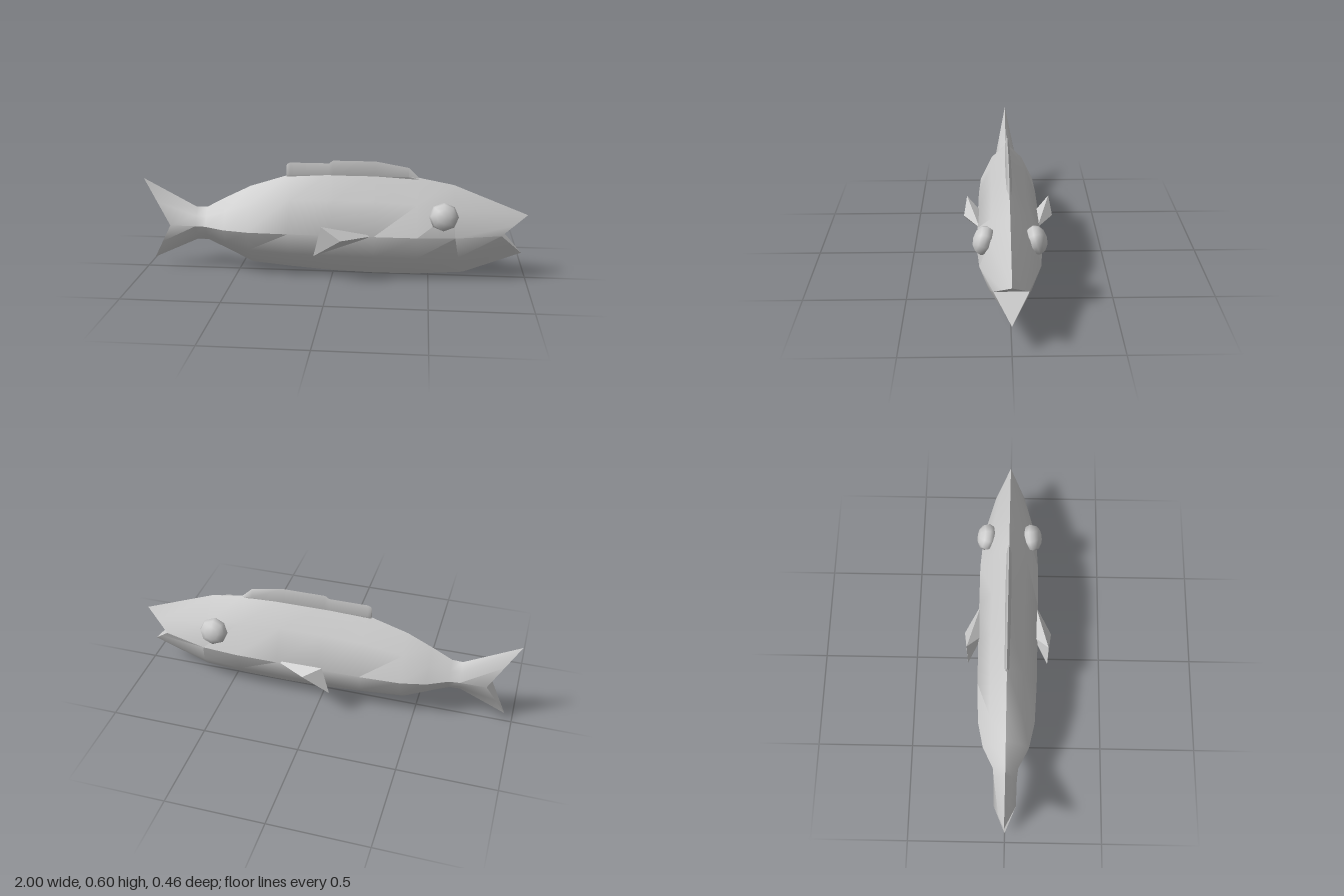
import * as THREE from 'three';
import { toCreasedNormals } from 'three/addons/utils/BufferGeometryUtils.js';
import { ConvexGeometry } from 'three/addons/geometries/ConvexGeometry.js';

const grey = new THREE.MeshStandardMaterial({ color: 0xcccccc });
const flatGrey = new THREE.MeshStandardMaterial({ color: 0xcccccc, flatShading: true, side: THREE.DoubleSide });
const V = (x, y, z) => new THREE.Vector3(x, y, z);
const MID = 0.245;

// Joins rings (equal point counts, running along +x) into a closed skin
function loft(rings, caps) {
  const n = rings[0].length, index = [];
  for (let i = 0; i < rings.length - 1; i++) {
    for (let j = 0; j < n; j++) {
      const k = (j + 1) % n, a = i * n + j, b = i * n + k;
      index.push(a, b, a + n, b, b + n, a + n);
    }
  }
  const last = (rings.length - 1) * n;
  for (const [a, b, c] of caps) {
    index.push(last + a, last + b, last + c); // front end
    index.push(a, c, b); // rear end
  }
  const geo = new THREE.BufferGeometry();
  geo.setAttribute('position', new THREE.Float32BufferAttribute(rings.flat(2), 3));
  geo.setIndex(index);
  return toCreasedNormals(geo, 0.75);
}

// Eight-point section: keel and back on the centre line, three points per side
function section([top, upper, side, lower, bottom]) {
  const half = [[upper[0], upper[1], upper[2]], [side[0], MID, side[1]], [lower[0], lower[1], lower[2]]];
  const mirrored = half.map(([x, y, z]) => [x, y, -z]).reverse();
  return [[top[0], top[1], 0], ...half, [bottom[0], bottom[1], 0], ...mirrored];
}

// Straight-sided end section, giving the forked tail and the open mouth
function forkSection(top, side, bottom) {
  const mid = (p) => [(p[0] + side[0]) / 2, (p[1] + MID) / 2, side[1] / 2];
  return section([top, mid(top), side, mid(bottom), bottom]);
}

// Upright section at one x: top y, upper [y, z], half width, lower [y, z], bottom y
const upright = (x, t, u, w, l, b) => section([[x, t], [x, ...u], [x, w], [x, ...l], [x, b]]);

function bodyGeometry() {
  const rings = [
    forkSection([-1, 0.485], [-0.855, 0.055], [-0.96, 0.05]),
    upright(-0.72, 0.335, [0.295, 0.035], 0.058, [0.2, 0.035], 0.16),
    upright(-0.665, 0.337, [0.295, 0.04], 0.064, [0.2, 0.04], 0.158),
    upright(-0.56, 0.393, [0.33, 0.075], 0.117, [0.17, 0.08], 0.108),
    upright(-0.43, 0.457, [0.375, 0.083], 0.145, [0.14, 0.105], 0.042),
    upright(-0.22, 0.523, [0.405, 0.085], 0.154, [0.128, 0.113], 0.022),
    upright(0, 0.55, [0.41, 0.085], 0.156, [0.125, 0.115], 0.006),
    upright(0.22, 0.55, [0.41, 0.085], 0.157, [0.123, 0.115], 0),
    upright(0.44, 0.52, [0.4, 0.087], 0.157, [0.123, 0.113], 0.002),
    section([[0.62, 0.486], [0.62, 0.375, 0.09], [0.63, 0.143], [0.65, 0.13, 0.098], [0.68, 0.02]]),
    forkSection([1, 0.337], [0.865, 0.079], [0.975, 0.134]),
  ];
  return loft(rings, [[2, 6, 0], [2, 4, 6]]);
}

// Low ridge along the back: x, tip height, half width at the base
function dorsalGeometry() {
  const profile = [
    [-0.242, 0.565, 0.007], [-0.238, 0.577, 0.01], [-0.222, 0.585, 0.012], [-0.02, 0.585, 0.014],
    [0, 0.6, 0.015], [0.22, 0.6, 0.015], [0.39, 0.57, 0.013], [0.445, 0.517, 0.005],
  ];
  const rings = profile.map(([x, y, w]) => {
    const base = Math.min(0.525, y - 0.005);
    return [[x, y, 0], [x, base, w], [x, base - 0.03, 0], [x, base, -w]];
  });
  return loft(rings, [[0, 1, 3], [1, 2, 3]]);
}

export function createModel() {
  const model = new THREE.Group();
  const add = (name, geo, mat = grey) => {
    const mesh = new THREE.Mesh(geo, mat);
    mesh.name = name;
    model.add(mesh);
    return mesh;
  };

  add('body', bodyGeometry());
  add('dorsalFin', dorsalGeometry());

  for (const s of [1, -1]) {
    const side = s > 0 ? 'right' : 'left';

    // Flattened eye, tilted to look outwards and slightly up
    const eye = add(side + 'Eye', new THREE.SphereGeometry(1, 8, 6));
    eye.scale.set(0.075, 0.05, 0.072);
    eye.position.set(0.57, 0.35, s * 0.122);
    eye.quaternion.setFromUnitVectors(V(0, 1, 0), V(0, 0.3, s * 0.95).normalize());

    // Faceted side fin: front root, rear root, outer ridge, upper and lower tips
    add(side + 'PectoralFin', new ConvexGeometry([
      V(0.22, 0.247, s * 0.145), V(0.04, 0.25, s * 0.135), V(0.058, 0.24, s * 0.228),
      V(-0.042, 0.308, s * 0.213), V(-0.08, 0.152, s * 0.211),
    ]), flatGrey);
  }
  return model;
}
